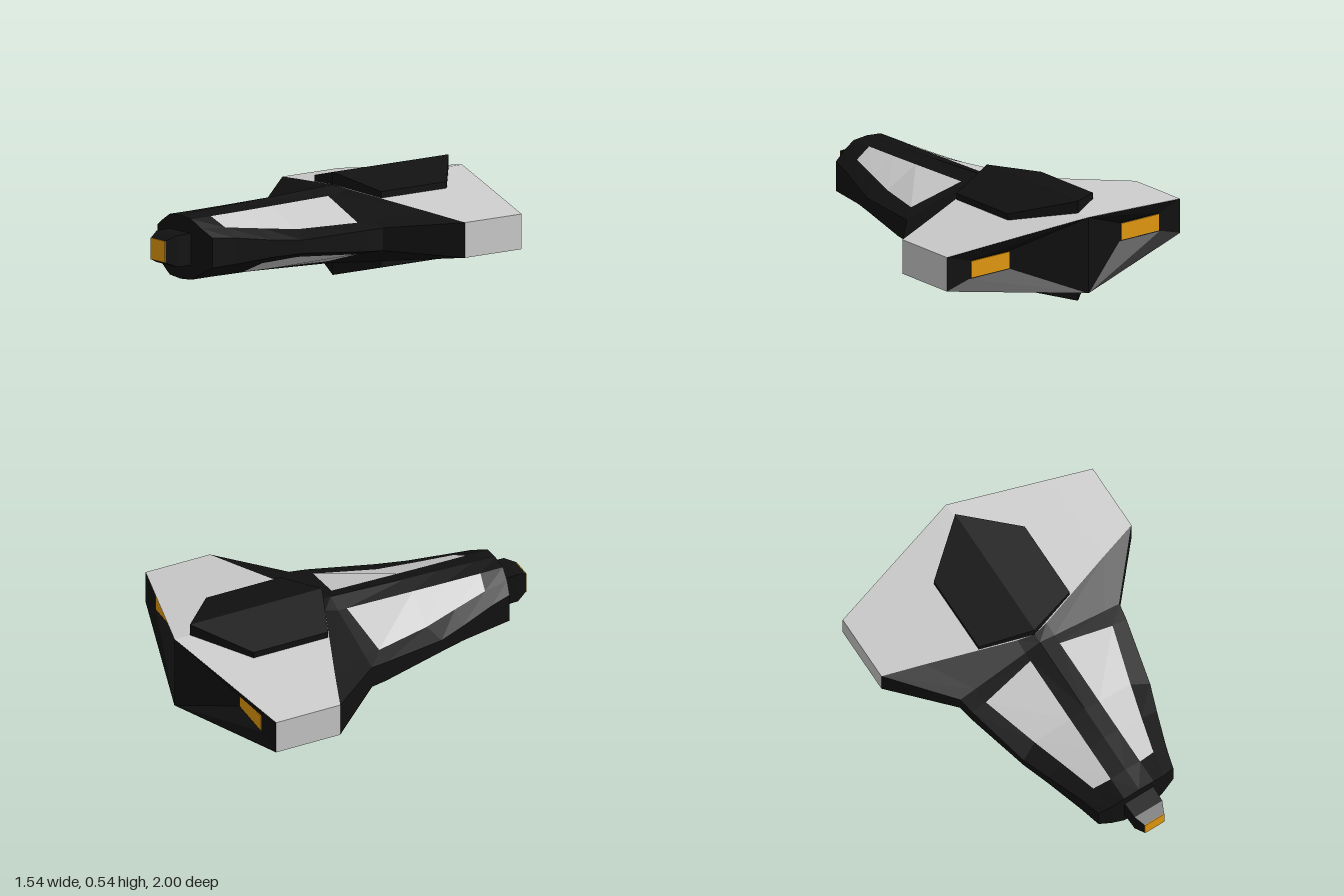
import * as THREE from 'three';

const MID = 0.272; // height of the horizontal symmetry plane

const material = (color) => new THREE.MeshStandardMaterial({ color, flatShading: true });
const grey = material(0xcccccc);
const black = material(0x111111);
const orange = material(0xe59a10);

// Adds a quad given in the +x, +y quarter, mirrored to left/right and to the given y signs
function addQuad(list, a, b, c, d, ySigns = [1, -1]) {
  for (const sx of [1, -1]) for (const sy of ySigns) {
    const tris = sx * sy > 0 ? [a, b, c, a, c, d] : [a, c, b, a, d, c];
    for (const [x, y, z] of tris) list.push(x * sx, y * sy, z);
  }
}

const flat = ([x, , z]) => [x, 0, z];

function addMesh(group, name, list, mat) {
  const geo = new THREE.BufferGeometry();
  geo.setAttribute('position', new THREE.Float32BufferAttribute(list, 3));
  geo.computeVertexNormals();
  const mesh = new THREE.Mesh(geo, mat);
  mesh.name = name;
  group.add(mesh);
}

function addBox(group, name, size, position, mat) {
  const mesh = new THREE.Mesh(new THREE.BoxGeometry(...size), mat);
  mesh.name = name;
  mesh.position.set(...position);
  group.add(mesh);
}

export function createModel() {
  const model = new THREE.Group();
  model.name = 'spaceship';
  const body = new THREE.Group();
  body.name = 'body';
  body.position.y = MID;
  model.add(body);

  // Hull rows from bow to stern: ridge, shoulder, panel edge, outer edge
  const rows = [
    [[0, 0.168, 0.85], [0.09, 0.16, 0.85], [0.16, 0.12, 0.84], [0.23, 0.08, 0.82]],
    [[0, 0.175, 0.72], [0.09, 0.16, 0.72], [0.185, 0.113, 0.70], [0.265, 0.07, 0.70]],
    [[0, 0.182, 0.515], [0.09, 0.162, 0.515], [0.24, 0.092, 0.50], [0.335, 0.045, 0.50]],
    [[0, 0.188, 0.33], [0.09, 0.165, 0.33], [0.295, 0.073, 0.31], [0.39, 0.035, 0.35]],
    [[0, 0.203, -0.05], [0.09, 0.172, -0.05], [0.39, 0.083, -0.01], [0.475, 0.057, -0.01]],
    [[0, 0.205, -0.10], [0.09, 0.174, -0.10], [0.40, 0.085, -0.10], [0.49, 0.06, -0.10]],
    [[0, 0.207, -0.15], [0.09, 0.194, -0.175], [0.55, 0.126, -0.343], [0.77, 0.093, -0.42]],
    [[0, 0.207, -1], [0.09, 0.194, -0.975], [0.55, 0.126, -0.85], [0.77, 0.093, -0.79]],
  ];
  rows.forEach((r) => r.push(flat(r[3])));

  const hull = [], panels = [], wings = [];
  for (let i = 0; i < rows.length - 1; i++) for (let j = 0; j < 4; j++) {
    const quad = [rows[i][j], rows[i][j + 1], rows[i + 1][j + 1], rows[i + 1][j]];
    for (const sy of [1, -1]) {
      // the lower panels start one row further back
      const isPanel = j === 1 && i >= (sy > 0 ? 1 : 2) && i <= 3;
      addQuad(i === 6 ? wings : isPanel ? panels : hull, ...quad, [sy]);
    }
  }

  // Bow face
  for (let j = 0; j < 3; j++) {
    const a = rows[0][j], b = rows[0][j + 1];
    addQuad(hull, a, flat(a), flat(b), b);
  }

  // Stern face, sunk around each engine
  const keel = rows[7][0], tip = rows[7][3];
  const inner = [0.36, 0.05, -0.8], outer = [0.63, 0.05, -0.8];
  addQuad(hull, keel, tip, outer, inner);
  addQuad(hull, flat(keel), keel, inner, flat(inner));
  addQuad(hull, tip, flat(tip), flat(outer), outer);
  addQuad(hull, inner, outer, flat(outer), flat(inner));

  addMesh(body, 'hull', hull, black);
  addMesh(body, 'bowPanels', panels, grey);
  addMesh(body, 'wings', wings, grey);

  // Raised deck above and below, with a sloping roof
  const deck = [];
  const outline = [[0, 0.272, -0.15], [0.28, 0.2, -0.25], [0.28, 0.2, -0.68], [0, 0.272, -0.91]];
  addQuad(deck, ...outline);
  for (let i = 0; i < 3; i++) {
    const a = outline[i], b = outline[i + 1];
    addQuad(deck, a, flat(a), flat(b), b);
  }
  addMesh(body, 'deck', deck, black);

  // Nose block with a tapered tip
  const nose = [];
  const sections = [[0.09, 0.085, 0.8], [0.085, 0.083, 0.94], [0.06, 0.057, 0.996]];
  sections.forEach((c, i) => {
    const top = [0, c[1], c[2]];
    if (i === 2) return addQuad(nose, top, [0, 0, c[2]], flat(c), c);
    const n = sections[i + 1];
    // rows run from front to back, so the next section comes first
    addQuad(nose, [0, n[1], n[2]], n, c, top);
    addQuad(nose, n, flat(n), flat(c), c);
  });
  addMesh(body, 'nose', nose, black);
  addBox(body, 'noseLight', [0.12, 0.114, 0.01], [0, 0, 0.995], orange);

  // Engine glow plates
  for (const s of [1, -1]) {
    addBox(body, s > 0 ? 'leftEngineGlow' : 'rightEngineGlow', [0.25, 0.09, 0.02], [0.495 * s, 0, -0.795], orange);
  }
  return model;
}
